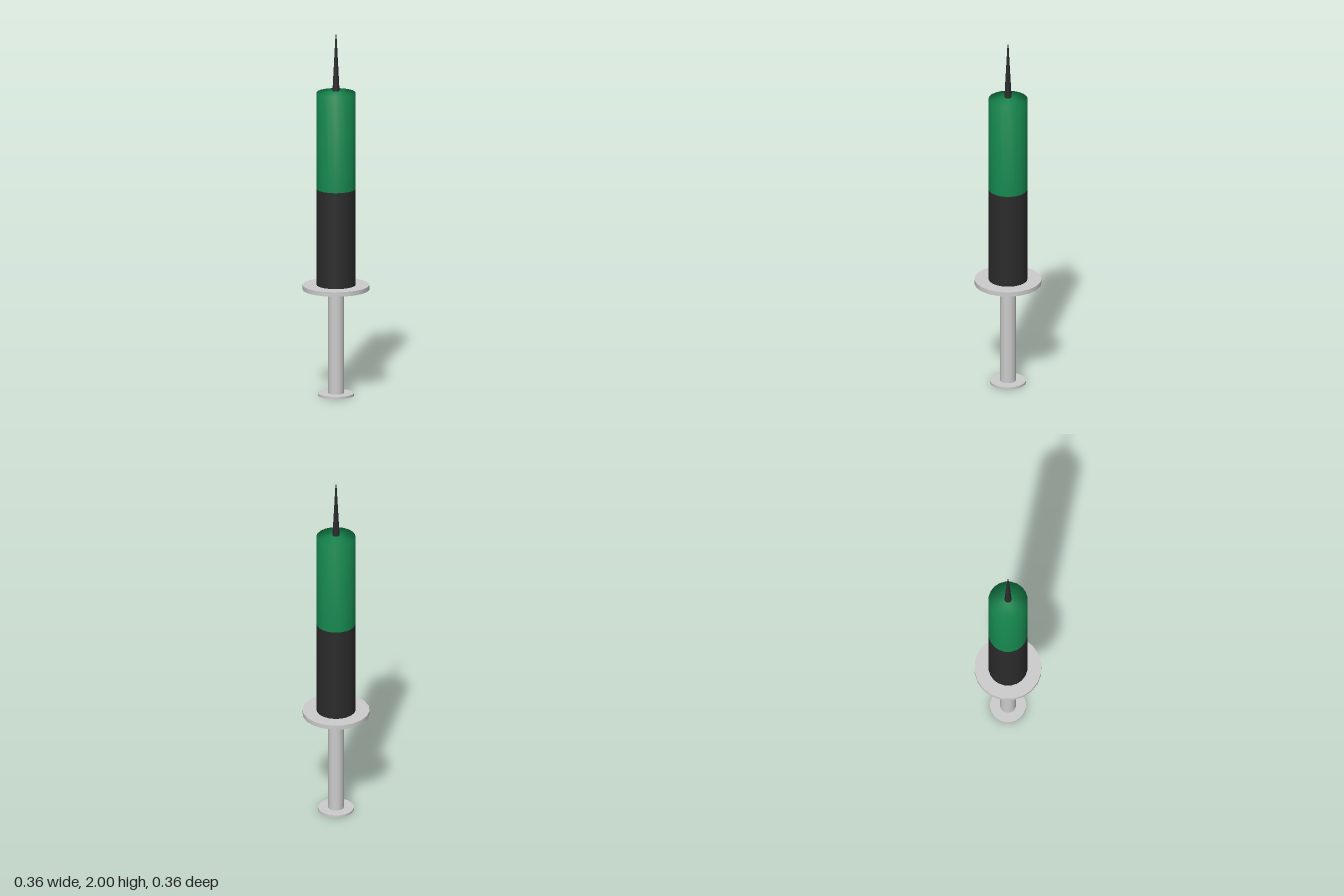
import * as THREE from 'three';

const SIDES = 20;

export function createModel() {
  const model = new THREE.Group();
  const grey = new THREE.MeshStandardMaterial({ color: 0xcccccc });
  const black = new THREE.MeshStandardMaterial({ color: 0x2b2b2b });
  const green = new THREE.MeshStandardMaterial({ color: 0x16884f });

  const add = (name, geometry, material) => {
    const mesh = new THREE.Mesh(geometry, material);
    mesh.name = name;
    model.add(mesh);
  };

  // Upright cylinder or cone between two heights
  const column = (name, rBottom, rTop, y0, y1, material, sides = SIDES) => {
    const geometry = new THREE.CylinderGeometry(rTop, rBottom, y1 - y0, sides);
    geometry.translate(0, (y0 + y1) / 2, 0);
    add(name, geometry, material);
  };

  // Plunger and finger flange
  column('thumbPlate', 0.098, 0.098, 0, 0.013, grey);
  column('plungerRod', 0.043, 0.043, 0.013, 0.59, grey);
  column('fingerFlange', 0.182, 0.182, 0.588, 0.613, grey);

  // Barrel: dark lower half, green upper half with a softly shaded shallow cone on top
  column('lowerBarrel', 0.106, 0.106, 0.613, 1.145, black);
  const profile = [[0.106, 1.145], [0.106, 1.68], [0, 1.692]];
  add('upperBarrel', new THREE.LatheGeometry(profile.map(([r, y]) => new THREE.Vector2(r, y)), SIDES), green);

  // Tapered needle
  column('needle', 0.02, 0.003, 1.685, 2, black, 12);

  return model;
}
